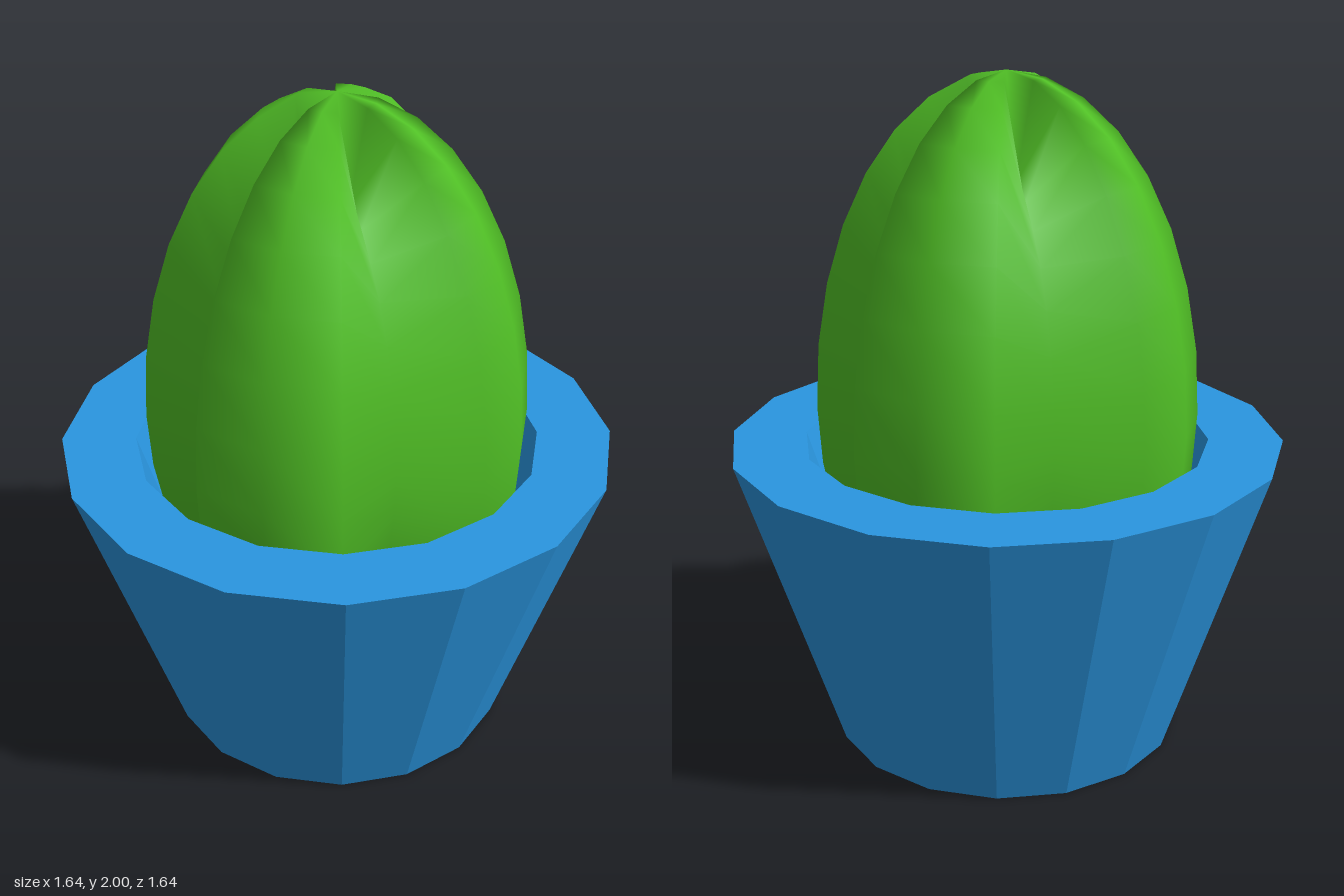
import * as THREE from 'three';
import { mergeVertices } from 'three/addons/utils/BufferGeometryUtils.js';

const SIDES = 16;

// Ellipsoid whose four axis-aligned meridians are pulled in to form valleys
function cactusGeometry() {
  const radius = 0.565, centreY = 1.0, valley = 0.708;
  const geometry = new THREE.SphereGeometry(1, SIDES, SIDES);
  const p = geometry.attributes.position;
  for (let i = 0; i < p.count; i++) {
    let x = p.getX(i), y = p.getY(i), z = p.getZ(i);
    const r = Math.hypot(x, z);
    const onAxis = Math.min(Math.abs(x), Math.abs(z)) < 1e-4;
    const k = r > 1e-4 && onAxis ? valley : 1;
    // The lower half is a little shorter so that it rests on the pot floor
    const height = y > 0 ? 1.0 : 0.9;
    p.setXYZ(i, x * radius * k, centreY + y * height * k, z * radius * k);
  }
  geometry.deleteAttribute('uv');
  geometry.deleteAttribute('normal');
  const merged = mergeVertices(geometry, 1e-4);
  merged.computeVertexNormals();
  return merged;
}

export function createModel() {
  const model = new THREE.Group();
  model.name = 'pottedCactus';

  // Faceted, thick-walled pot: base, outer wall, rim, inner wall, floor
  const profile = [[0, 0], [0.52, 0], [0.82, 0.92], [0.6, 0.92], [0.34, 0.1], [0, 0.1]]
    .map(([x, y]) => new THREE.Vector2(x, y));
  const pot = new THREE.Mesh(
    new THREE.LatheGeometry(profile, SIDES),
    new THREE.MeshStandardMaterial({ color: 0x2a96e0, flatShading: true })
  );
  pot.name = 'pot';

  // Smooth ribbed cactus
  const cactus = new THREE.Mesh(
    cactusGeometry(),
    new THREE.MeshStandardMaterial({ color: 0x50bf25 })
  );
  cactus.name = 'cactus';

  model.add(pot, cactus);
  return model;
}
